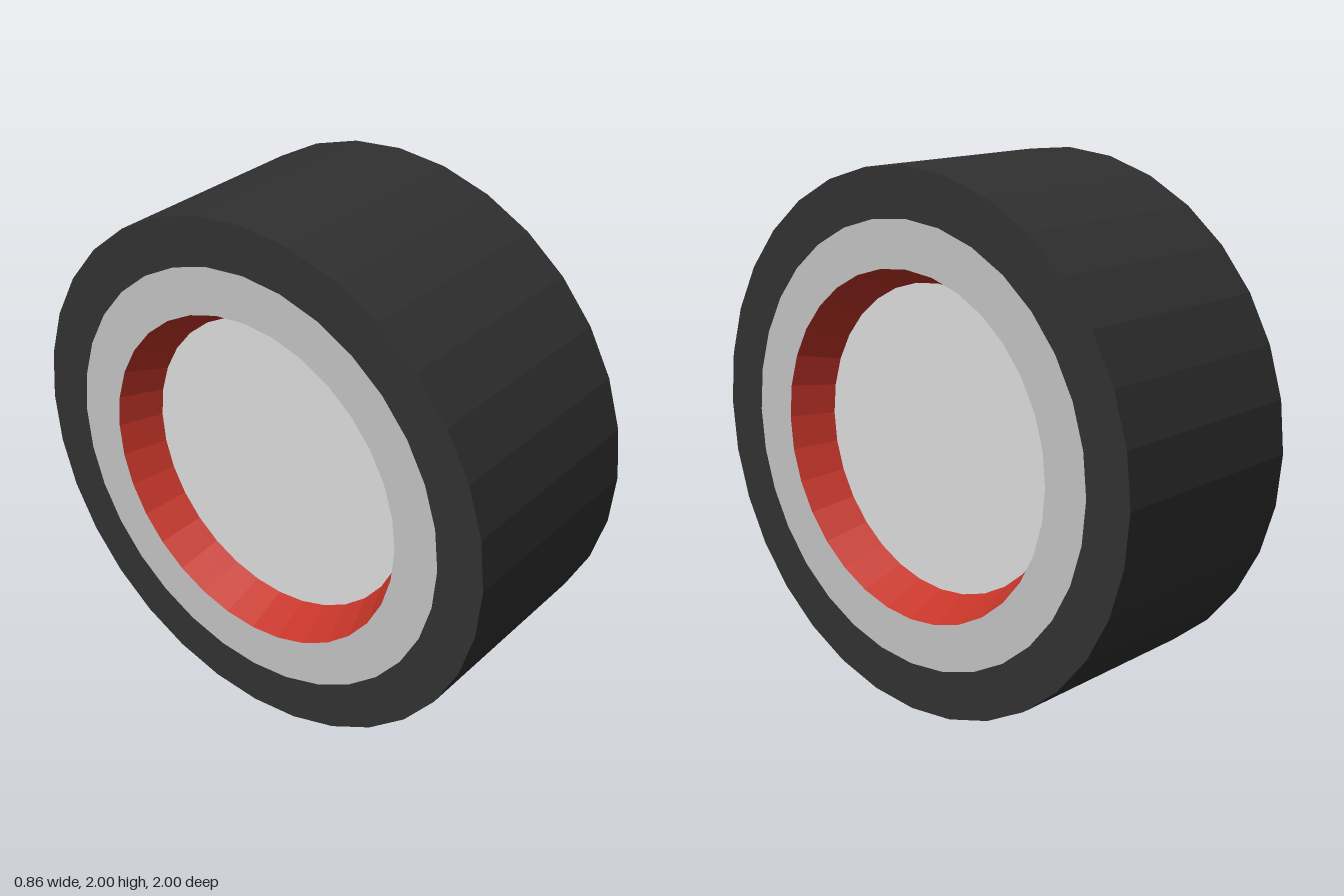
import * as THREE from 'three';

const SIDES = 32;
const HALF = 0.43;           // half the wheel width
const FLOOR = HALF - 0.16;   // height of the recessed hub disc

function material(name, color) {
  const m = new THREE.MeshStandardMaterial({ color });
  m.name = name;
  return m;
}

// Faceted ring swept around the axle
function turned(name, profile, mat) {
  const points = profile.map(([r, h]) => new THREE.Vector2(r, h));
  const geometry = new THREE.LatheGeometry(points, SIDES).toNonIndexed();
  geometry.computeVertexNormals();
  const mesh = new THREE.Mesh(geometry, mat);
  mesh.name = name;
  return mesh;
}

export function createModel() {
  const rubber = material('black rubber', 0x313131);
  const silver = material('silver rim', 0xc0c0c0);
  const pale = material('pale hub', 0xd9d9d9);
  const red = material('red lining', 0xc63529);

  const model = new THREE.Group();
  model.name = 'wheel';

  // Everything is turned about y, then the axle is laid along x
  const wheel = new THREE.Group();
  wheel.name = 'wheelAssembly';
  wheel.rotation.z = -Math.PI / 2;
  wheel.position.y = 1;
  model.add(wheel);

  // Tyre: tread and both sidewalls
  wheel.add(turned('tyre', [[0.82, -HALF], [1, -HALF], [1, HALF], [0.82, HALF]], rubber));

  // The same recessed hub on each side
  for (const side of ['left', 'right']) {
    const hub = new THREE.Group();
    hub.name = side + 'Hub';
    if (side === 'right') hub.rotation.x = Math.PI;
    hub.add(
      turned('rimRing', [[0.82, HALF], [0.645, HALF]], silver),
      turned('recessLining', [[0.645, HALF], [0.575, FLOOR]], red),
    );
    // Disc closing the recess
    const disc = new THREE.Mesh(new THREE.CircleGeometry(0.575, SIDES), pale);
    disc.name = 'hubDisc';
    disc.rotation.x = -Math.PI / 2;
    disc.position.y = FLOOR;
    hub.add(disc);
    wheel.add(hub);
  }
  return model;
}
